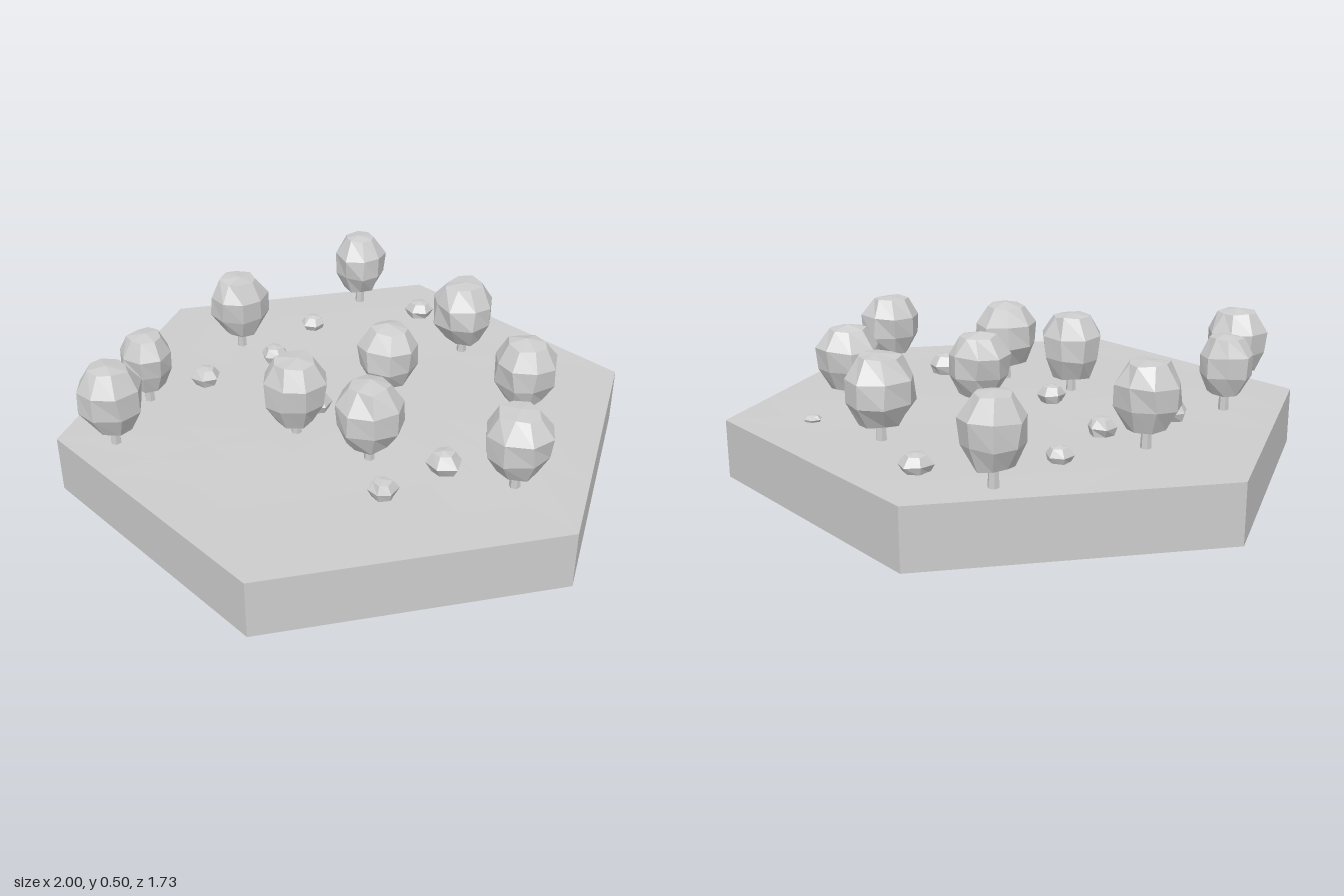
import * as THREE from 'three';
import { mergeVertices } from 'three/addons/utils/BufferGeometryUtils.js';

const grey = new THREE.MeshStandardMaterial({ color: 0xcccccc, flatShading: true, side: THREE.DoubleSide });
grey.name = 'plainGrey';

const GROUND = 0.2;

// Small seeded generator, so every lump is a little different
let seed = 11;
const rand = () => {
  seed = (seed * 16807) % 2147483647;
  return seed / 2147483647;
};
const jitter = (a) => (rand() * 2 - 1) * a;

// Faceted lump: a turned unit profile whose welded corners are nudged
function lump(profile, sides, amount) {
  const pts = profile.map(([r, y]) => new THREE.Vector2(r, y));
  let g = new THREE.LatheGeometry(pts, sides);
  g.deleteAttribute('normal');
  g.deleteAttribute('uv');
  g = mergeVertices(g, 1e-3);
  const p = g.attributes.position;
  for (let i = 0; i < p.count; i++) {
    p.setXYZ(i, p.getX(i) + jitter(amount), p.getY(i) + jitter(amount * 0.3), p.getZ(i) + jitter(amount));
  }
  g = g.toNonIndexed();
  g.computeVertexNormals();
  return g;
}

function add(parent, name, geometry) {
  const mesh = new THREE.Mesh(geometry, grey);
  mesh.name = name;
  parent.add(mesh);
  return mesh;
}

// Hexagonal tile: open below, with a very slightly uneven top
function makeTile() {
  const tile = new THREE.Group();
  tile.name = 'hexagonTile';
  const wall = new THREE.CylinderGeometry(1, 1, GROUND, 6, 1, true);
  wall.rotateY(Math.PI / 2);
  wall.translate(0, GROUND / 2, 0);
  add(tile, 'tileWall', wall);

  const top = new THREE.RingGeometry(0, 1, 24, 5);
  top.rotateX(-Math.PI / 2);
  const p = top.attributes.position;
  for (let i = 0; i < p.count; i++) {
    const x = p.getX(i), z = p.getZ(i);
    const r = Math.hypot(x, z);
    const a = (Math.atan2(z, x) + Math.PI * 2 + 1e-6) % (Math.PI / 3);
    const k = Math.cos(Math.PI / 6) / Math.cos(a - Math.PI / 6);
    const bump = r > 0.99 ? 0 : 0.003 * Math.sin(x * 5 + 1) * Math.cos(z * 4 - 0.6);
    p.setXYZ(i, x * k, GROUND + bump, z * k);
  }
  top.computeVertexNormals();
  add(tile, 'ground', top);
  return tile;
}

// Tree: x, z, crown radius, crown bottom, crown top
const TREES = [
  [-0.56, -0.58, 0.1, 0.26, 0.49],
  [0, -0.58, 0.117, 0.25, 0.485],
  [0.43, -0.42, 0.112, 0.245, 0.47],
  [0.04, -0.15, 0.107, 0.255, 0.475],
  [0.71, -0.05, 0.112, 0.26, 0.48],
  [-0.6, 0, 0.11, 0.26, 0.485],
  [0.29, 0.18, 0.117, 0.26, 0.49],
  [0.01, 0.25, 0.112, 0.25, 0.49],
  [-0.5, 0.49, 0.094, 0.26, 0.465],
  [-0.35, 0.73, 0.112, 0.265, 0.495],
];
const CROWN = [[0, 0], [0.6, 0.02], [0.94, 0.33], [0.97, 0.66], [0.6, 0.95], [0, 1]];

function makeTree([x, z, r, y0, y1]) {
  const tree = new THREE.Group();
  tree.name = 'tree';
  tree.position.set(x, 0, z);
  const trunk = new THREE.CylinderGeometry(0.014, 0.019, y0 + 0.03 - 0.19, 6);
  trunk.translate(0, (0.19 + y0 + 0.03) / 2, 0);
  add(tree, 'trunk', trunk);
  const crown = add(tree, 'crown', lump(CROWN, 8, 0.07));
  crown.scale.set(r, y1 - y0, r);
  crown.position.y = y0;
  crown.rotation.y = rand() * 6;
  return tree;
}

// Rock: x, z, radius, top
const ROCKS = [
  [-0.31, -0.67, 0.055, 0.26], [0.31, -0.645, 0.033, 0.22],
  [-0.52, -0.29, 0.046, 0.25], [-0.42, -0.015, 0.051, 0.26],
  [-0.05, 0.1, 0.049, 0.265], [-0.46, 0.275, 0.052, 0.265],
  [0.5, 0.05, 0.06, 0.275], [0.465, 0.29, 0.05, 0.26],
];
const ROCK = [[0, 0], [0.75, 0.08], [1, 0.5], [0.58, 0.9], [0, 1]];

function makeRock([x, z, r, top]) {
  const rock = new THREE.Mesh(lump(ROCK, 6, 0.08), grey);
  rock.name = 'rock';
  rock.position.set(x, 0.193, z);
  rock.scale.set(r, top - 0.193, r);
  rock.rotation.y = rand() * 6;
  return rock;
}

export function createModel() {
  seed = 11;
  const model = new THREE.Group();
  model.name = 'woodedTile';
  model.add(makeTile());
  TREES.forEach((t) => model.add(makeTree(t)));
  ROCKS.forEach((r) => model.add(makeRock(r)));
  return model;
}
